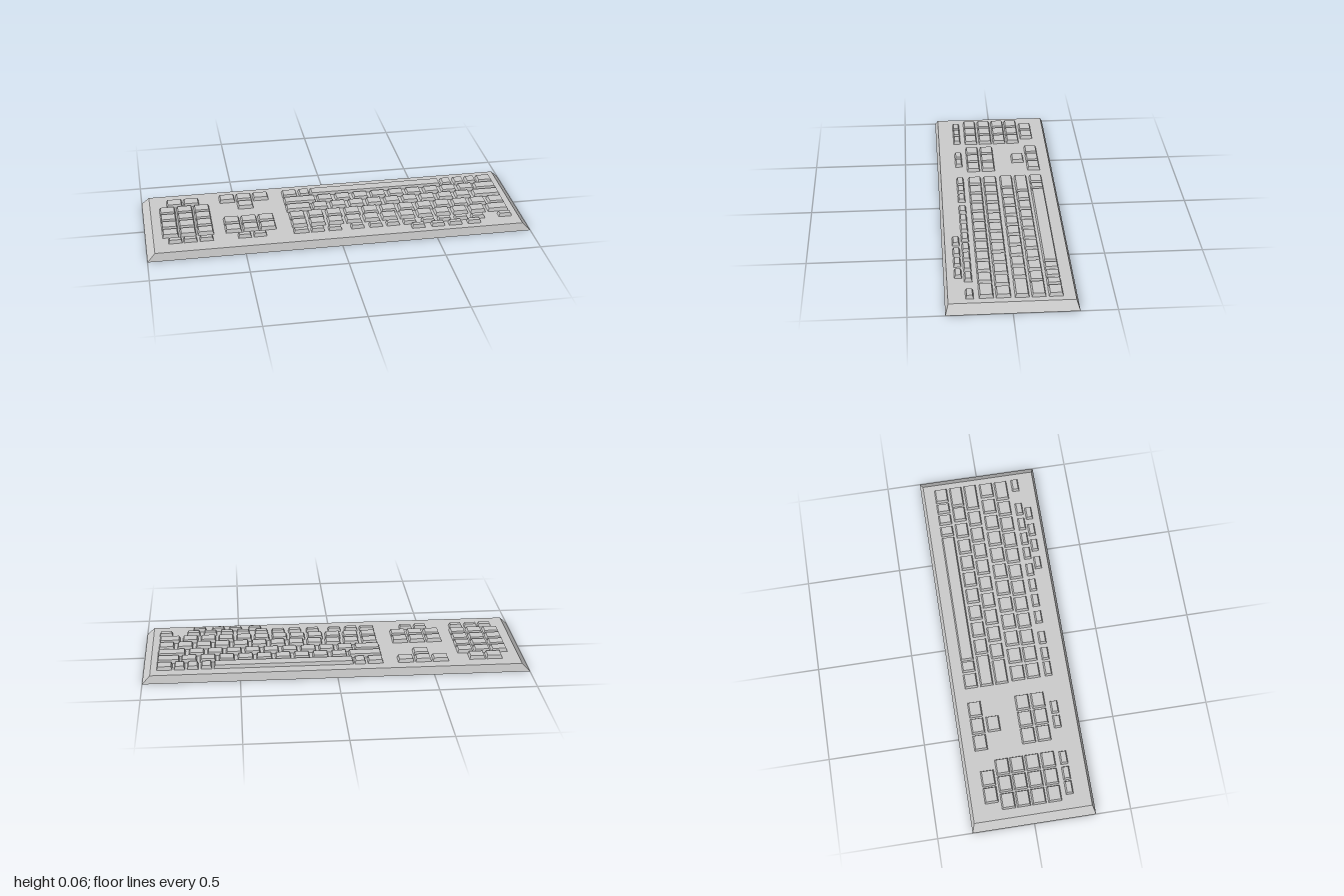
import * as THREE from 'three';

const material = new THREE.MeshStandardMaterial({ color: 0xcccccc, flatShading: true });
const DECK = 0.04;
const KEY_HEIGHT = 0.018;

// Box on y = 0 whose top face is drawn in by insetX and insetZ on each side
function taperedBox(width, height, depth, insetX, insetZ) {
  const geometry = new THREE.BoxGeometry(width, height, depth).translate(0, height / 2, 0);
  const p = geometry.attributes.position;
  for (let i = 0; i < p.count; i++) {
    if (p.getY(i) < height / 2) continue;
    p.setX(i, p.getX(i) - Math.sign(p.getX(i)) * insetX);
    p.setZ(i, p.getZ(i) - Math.sign(p.getZ(i)) * insetZ);
  }
  geometry.computeVertexNormals();
  return geometry;
}

// Row extents in z: [back, front]
const ROW = {
  space: [-0.246, -0.177],
  shift: [-0.163, -0.095],
  home: [-0.083, -0.015],
  upper: [0.004, 0.076],
  number: [0.087, 0.157],
  function: [0.182, 0.221],
  extra: [0.231, 0.268],
};

// Extents in x of evenly spaced keys, and of keys with given left edges
const even = (start, count, pitch, width) =>
  Array.from({ length: count }, (_, i) => [start + i * pitch, start + i * pitch + width]);
const at = (width, ...starts) => starts.map((x) => [x, x + width]);

export function createModel() {
  const model = new THREE.Group();
  model.name = 'keyboard';

  // Bevelled case
  const base = new THREE.Mesh(taperedBox(2, DECK, 0.64, 0.04, 0.015), material);
  base.name = 'base';
  model.add(base);

  function addRow(group, name, [back, front], extents) {
    for (const [left, right] of extents) {
      const key = new THREE.Mesh(
        taperedBox(right - left, KEY_HEIGHT, front - back, 0.006, 0.006), material);
      key.name = name;
      key.position.set((left + right) / 2, DECK, (back + front) / 2);
      group.add(key);
    }
  }

  function addBlock(name) {
    const group = new THREE.Group();
    group.name = name;
    model.add(group);
    return group;
  }

  // Main typing block
  const main = addBlock('mainKeys');
  addRow(main, 'spaceBar', ROW.space, [[-0.088, 0.634]]);
  addRow(main, 'modifierKey', ROW.space, [
    [-0.243, -0.163], [-0.152, -0.094], [0.644, 0.7], [0.714, 0.771], [0.783, 0.838], [0.848, 0.928]]);
  addRow(main, 'shiftKey', ROW.shift, [[-0.243, -0.072], [0.812, 0.928]]);
  addRow(main, 'letterKey', ROW.shift, even(-0.062, 9, 0.098, 0.082));
  addRow(main, 'wideKey', ROW.home, [[-0.243, -0.11], [0.783, 0.928]]);
  addRow(main, 'letterKey', ROW.home, even(-0.1, 9, 0.098, 0.082));
  addRow(main, 'letterKey', ROW.upper, even(-0.238, 12, 0.0983, 0.082));
  addRow(main, 'numberKey', ROW.number, even(-0.238, 11, 0.0957, 0.082));
  addRow(main, 'wideKey', ROW.number, [[0.815, 0.924]]);

  // Small function keys
  const functions = addBlock('functionKeys');
  addRow(functions, 'functionKey', ROW.function, [
    [-0.238, -0.158],
    ...at(0.07, -0.147, -0.056, 0.063, 0.16, 0.251, 0.342, 0.441, 0.528, 0.618, 0.709, 0.856)]);
  addRow(functions, 'extraKey', ROW.extra, at(0.07, 0.377, 0.482, 0.575, 0.676));

  // Navigation cluster
  const navigation = addBlock('navigationKeys');
  const columns = even(-0.586, 3, 0.091, 0.083);
  addRow(navigation, 'arrowKey', ROW.space, columns);
  addRow(navigation, 'arrowKey', ROW.shift, [columns[1]]);
  addRow(navigation, 'navigationKey', ROW.upper, columns);
  addRow(navigation, 'navigationKey', ROW.number, columns);
  addRow(navigation, 'smallKey', ROW.function, at(0.068, -0.527, -0.447));

  // Number pad
  const pad = addBlock('numberPad');
  addRow(pad, 'padKey', [-0.235, -0.165], even(-0.87, 2, 0.09, 0.083));
  for (const row of [[-0.153, -0.083], [-0.075, -0.005], ROW.upper, ROW.number]) {
    addRow(pad, 'padKey', row, even(-0.912, 3, 0.091, 0.083));
  }
  addRow(pad, 'smallKey', ROW.function, at(0.07, -0.885, -0.808, -0.725));

  return model;
}
